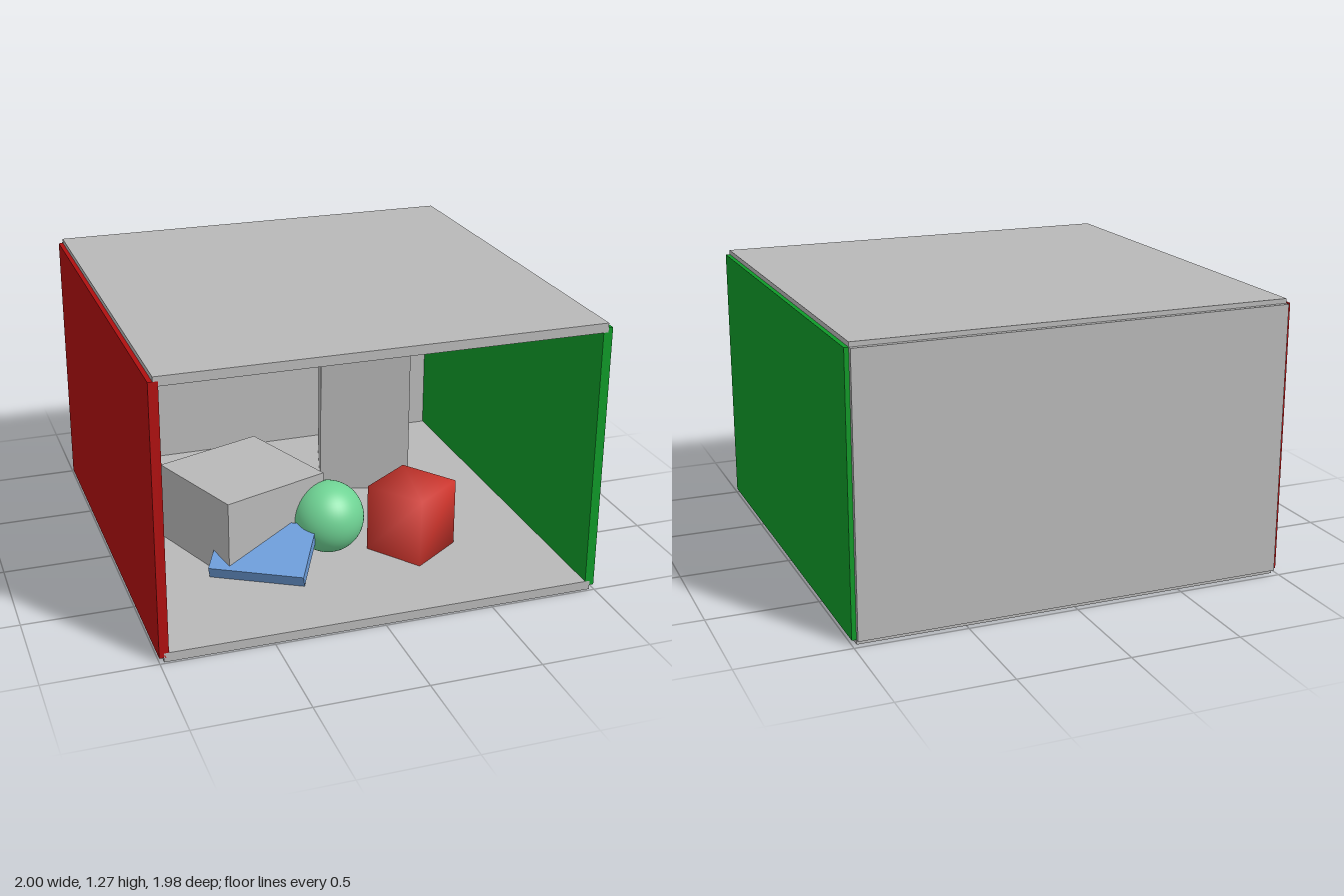
import * as THREE from 'three';
import { mergeVertices } from 'three/addons/utils/BufferGeometryUtils.js';

function makeMaterial(name, color) {
  const material = new THREE.MeshStandardMaterial({ color });
  material.name = name;
  return material;
}

// Box whose faces share corner normals, giving soft shading
function softBox(w, h, d) {
  const geometry = new THREE.BoxGeometry(w, h, d);
  geometry.deleteAttribute('normal');
  geometry.deleteAttribute('uv');
  const merged = mergeVertices(geometry);
  merged.computeVertexNormals();
  return merged;
}

export function createModel() {
  const group = new THREE.Group();
  group.name = 'openRoom';

  const grey = makeMaterial('plaster grey', 0xb8b8b8);
  const wallRed = makeMaterial('wall red', 0xb01010);
  const wallGreen = makeMaterial('wall green', 0x0f9a28);
  const cubeRed = makeMaterial('cube red', 0xd8382f);
  const mint = makeMaterial('mint green', 0x6fd394);
  const blue = makeMaterial('slab blue', 0x6c9cd8);

  const add = (name, geometry, material, x, y, z, yaw = 0, tilt = 0) => {
    const mesh = new THREE.Mesh(geometry, material);
    mesh.name = name;
    mesh.position.set(x, y, z);
    mesh.rotation.set(tilt, yaw, 0, 'YXZ');
    group.add(mesh);
  };
  const box = (w, h, d) => new THREE.BoxGeometry(w, h, d);

  // Room shell, open at the front
  const t = 0.042, midY = 0.635, midZ = 0.01;
  add('floor', box(1.96, t, 1.96), grey, 0, t / 2, midZ);
  add('ceiling', box(1.96, t, 1.96), grey, 0, 1.27 - t / 2, midZ);
  add('backWall', box(1.96, 1.228, t), grey, 0, midY, -0.97);
  add('rightWall', box(t, 1.228, 1.96), wallRed, -1 + t / 2, midY, midZ);
  add('leftWall', box(t, 1.228, 1.96), wallGreen, 1 - t / 2, midY, midZ);

  // Grey blocks standing on the floor
  const deg = Math.PI / 180;
  add('shortBlock', box(0.54, 0.372, 0.54), grey, -0.39, t + 0.186, 0.119, 20 * deg);
  add('tallBlock', box(0.44, 0.763, 0.44), grey, 0.415, t + 0.3815, -0.45, -17 * deg);

  // Coloured objects
  add('sphere', new THREE.SphereGeometry(0.168, 48, 32), mint, -0.035, t + 0.168, 0.32);
  add('redCube', softBox(0.293, 0.322, 0.293), cubeRed, 0.342, t + 0.161, 0.417, 35.3 * deg);
  add('tiltedSlab', box(0.438, 0.059, 0.314), blue, -0.375, 0.13, 0.412, -30 * deg, 22 * deg);

  return group;
}
